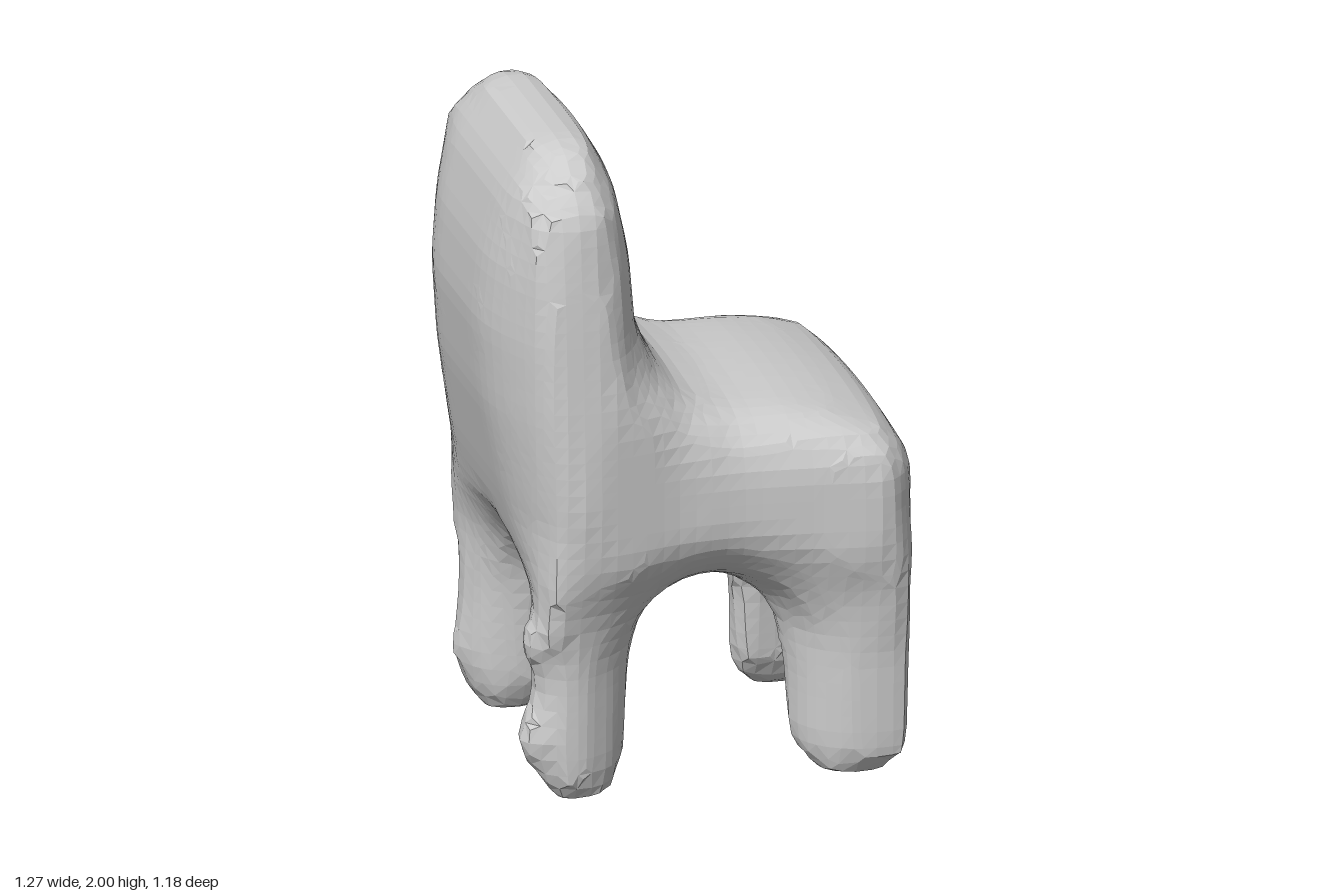
import * as THREE from 'three';

// Outlines of the soft chair: side profile (x, y), half front profile (z, y), half plan (x, z).
// Feet, crown and plan ends overrun a little and are cut by the neighbouring outlines.
const SIDE = [[-0.32, -0.06], [-0.215, 0.09], [-0.19, 0.4], [-0.14, 0.505], [-0.07, 0.555], [0.05, 0.57], [0.13, 0.56],
  [0.21, 0.525], [0.265, 0.45], [0.28, 0.3], [0.28, 0.09], [0.4, -0.05], [0.49, -0.05], [0.61, 0.08], [0.62, 0.6],
  [0.635, 0.95], [0.615, 1.02], [0.54, 1.1], [0.4, 1.145], [0.27, 1.165], [0.1, 1.17], [-0.03, 1.205], [-0.09, 1.28],
  [-0.145, 1.42], [-0.165, 1.65], [-0.21, 1.85], [-0.3, 2.0], [-0.38, 2.03], [-0.47, 1.985], [-0.56, 1.85],
  [-0.615, 1.65], [-0.635, 1.45], [-0.615, 1.2], [-0.565, 0.92], [-0.52, 0.72], [-0.51, 0.6], [-0.515, 0.35],
  [-0.55, 0.18], [-0.41, -0.06]];
const FRONT = [[0.1, 0.545], [0.17, 0.48], [0.22, 0.35], [0.25, 0.1], [0.36, -0.06], [0.42, -0.06], [0.51, 0.08],
  [0.515, 0.4], [0.56, 0.65], [0.595, 0.92], [0.585, 1.12], [0.56, 1.5], [0.53, 1.83], [0.47, 1.94],
  [0.33, 2.12], [0.1, 2.2]];
const PLAN = [[-0.85, 0.22], [-0.61, 0.45], [-0.55, 0.52], [-0.47, 0.59], [-0.39, 0.595], [-0.25, 0.565],
  [-0.1, 0.53], [0.1, 0.525], [0.3, 0.545], [0.52, 0.58], [0.62, 0.52], [0.8, 0.38]];
const mirrored = (half, axis) => [...half,
  ...half.map((p) => p.map((v, i) => (i === axis ? -v : v))).reverse()];
const FRONT_FULL = mirrored(FRONT, 0);
const PLAN_FULL = mirrored(PLAN, 1);

// Small knobs on two of the legs
const KNOBS = [[-0.52, 0.5, 0.42], [-0.52, 0.2, 0.42], [0.57, 0.09, -0.44]];

const { clamp, smoothstep } = THREE.MathUtils;

// Signed distance to a polygon, negative inside
function polygonDistance(poly, px, py) {
  let best = Infinity, inside = false;
  for (let i = 0, j = poly.length - 1; i < poly.length; j = i++) {
    const [ax, ay] = poly[i], [bx, by] = poly[j];
    const ex = bx - ax, ey = by - ay, wx = px - ax, wy = py - ay;
    const t = clamp((wx * ex + wy * ey) / (ex * ex + ey * ey), 0, 1);
    best = Math.min(best, Math.hypot(wx - ex * t, wy - ey * t));
    if ((ay > py) !== (by > py) && px < ax + (ex * (py - ay)) / ey) inside = !inside;
  }
  return inside ? -best : best;
}

// Maximum with a rounded edge of width k
function smoothMax(a, b, k) {
  const h = Math.max(k - Math.abs(a - b), 0);
  return Math.max(a, b) + (h * h) / (4 * k);
}

// Solid of the whole chair, negative inside
function chairField(x, y, z) {
  // the seat top and the front of the backrest are gently crowned
  const crownedY = y + 0.14 * z * z * smoothstep(x, -0.2, 0.1) * smoothstep(y, 0.85, 1.05);
  const crownedX = x + 0.33 * z * z * smoothstep(x, -0.4, -0.2) * smoothstep(y, 1.1, 1.35);
  const rounding = 0.05 + (0.14 - 0.06 * smoothstep(x, 0.2, 0.5)) * smoothstep(y, 0.6, 0.9);
  const outer = Math.max(polygonDistance(FRONT_FULL, z, y), polygonDistance(PLAN_FULL, x, z));
  let f = smoothMax(polygonDistance(SIDE, crownedX, crownedY), outer, rounding);
  // legs are thin across the diagonal and flare softly into the seat
  const ax = Math.hypot(x - 0.03, 0.1), az = Math.hypot(z, 0.1);
  const across = Math.abs(ax - az - 0.03) / Math.SQRT2;
  const flare = 0.115 + 2.8 * Math.max(0, y - 0.4) ** 2;
  f = smoothMax(f, across - flare, 0.07 + 0.23 * smoothstep(y, 0.4, 0.7));
  // all legs but one have a blunted outer corner
  if (x < 0 || z < 0) {
    f = smoothMax(f, (ax + az) / Math.SQRT2 - 0.71 - 0.4 * smoothstep(y, 0.45, 0.8), 0.03);
  }
  for (const [kx, ky, kz] of KNOBS) {
    f -= 0.06 * Math.exp(-((x - kx) ** 2 + (y - ky) ** 2 + (z - kz) ** 2) / 0.004);
  }
  // flat feet and a flat top edge
  return Math.max(f, -y, y - 2);
}

// Quads over the zero surface of a field: one vertex per crossed grid cell
function surfaceQuads(field, min, counts, step) {
  const [nx, ny, nz] = counts;
  const id = (p) => (p[2] * ny + p[1]) * nx + p[0];
  const each = (fn) => {
    for (let k = 0; k < nz; k++) for (let j = 0; j < ny; j++) for (let i = 0; i < nx; i++) fn([i, j, k]);
  };
  const values = new Float32Array(nx * ny * nz);
  each((p) => { values[id(p)] = field(...p.map((c, a) => min[a] + c * step)); });

  const vertices = new Map();
  each((p) => {
    if (p.some((c, a) => c >= counts[a] - 1)) return;
    const sum = [0, 0, 0];
    let hits = 0;
    for (let corner = 0; corner < 8; corner++) {
      for (let a = 0; a < 3; a++) {
        if (corner & (1 << a)) continue;
        const from = p.map((c, n) => c + ((corner >> n) & 1));
        const to = from.map((c, n) => c + (n === a ? 1 : 0));
        const v0 = values[id(from)], v1 = values[id(to)];
        if ((v0 < 0) === (v1 < 0)) continue;
        const t = v0 / (v0 - v1);
        for (let n = 0; n < 3; n++) sum[n] += from[n] + (n === a ? t : 0);
        hits++;
      }
    }
    if (hits) vertices.set(id(p), new THREE.Vector3(...sum.map((s, n) => min[n] + (s / hits) * step)));
  });

  const quads = [];
  each((p) => {
    for (let a = 0; a < 3; a++) {
      const b = (a + 1) % 3, c = (a + 2) % 3;
      if (p[a] >= counts[a] - 1 || p[b] < 1 || p[c] < 1) continue;
      const next = p.slice();
      next[a]++;
      const inside = values[id(p)] < 0;
      if (inside === (values[id(next)] < 0)) continue;
      const quad = [[0, 0], [1, 0], [1, 1], [0, 1]].map(([db, dc]) => {
        const q = p.slice();
        q[b] -= db;
        q[c] -= dc;
        return vertices.get(id(q));
      });
      quads.push(inside ? quad : quad.reverse());
    }
  });
  return quads;
}

// Which part of the chair a point belongs to
function partName(p) {
  if (p.y < 0.55) return (p.x > 0.03 ? 'front' : 'back') + (p.z > 0 ? 'Right' : 'Left') + 'Leg';
  return p.y > 1.0 && p.x < -0.05 ? 'backrest' : 'seat';
}

export function createModel() {
  const group = new THREE.Group();
  group.name = 'chair';
  const material = new THREE.MeshStandardMaterial({ color: 0xcccccc, flatShading: true });
  const quads = surfaceQuads(chairField, [-0.775, -0.125, -0.75], [32, 46, 31], 0.05);

  // Sort the faces into backrest, seat and legs, which join without gaps
  const parts = {};
  for (const [a, b, c, d] of quads) {
    const middle = new THREE.Vector3().add(a).add(b).add(c).add(d).multiplyScalar(0.25);
    (parts[partName(middle)] ??= []).push(a, b, c, a, c, d);
  }
  for (const [name, points] of Object.entries(parts)) {
    const geometry = new THREE.BufferGeometry().setFromPoints(points);
    geometry.computeVertexNormals();
    const mesh = new THREE.Mesh(geometry, material);
    mesh.name = name;
    group.add(mesh);
  }
  return group;
}
